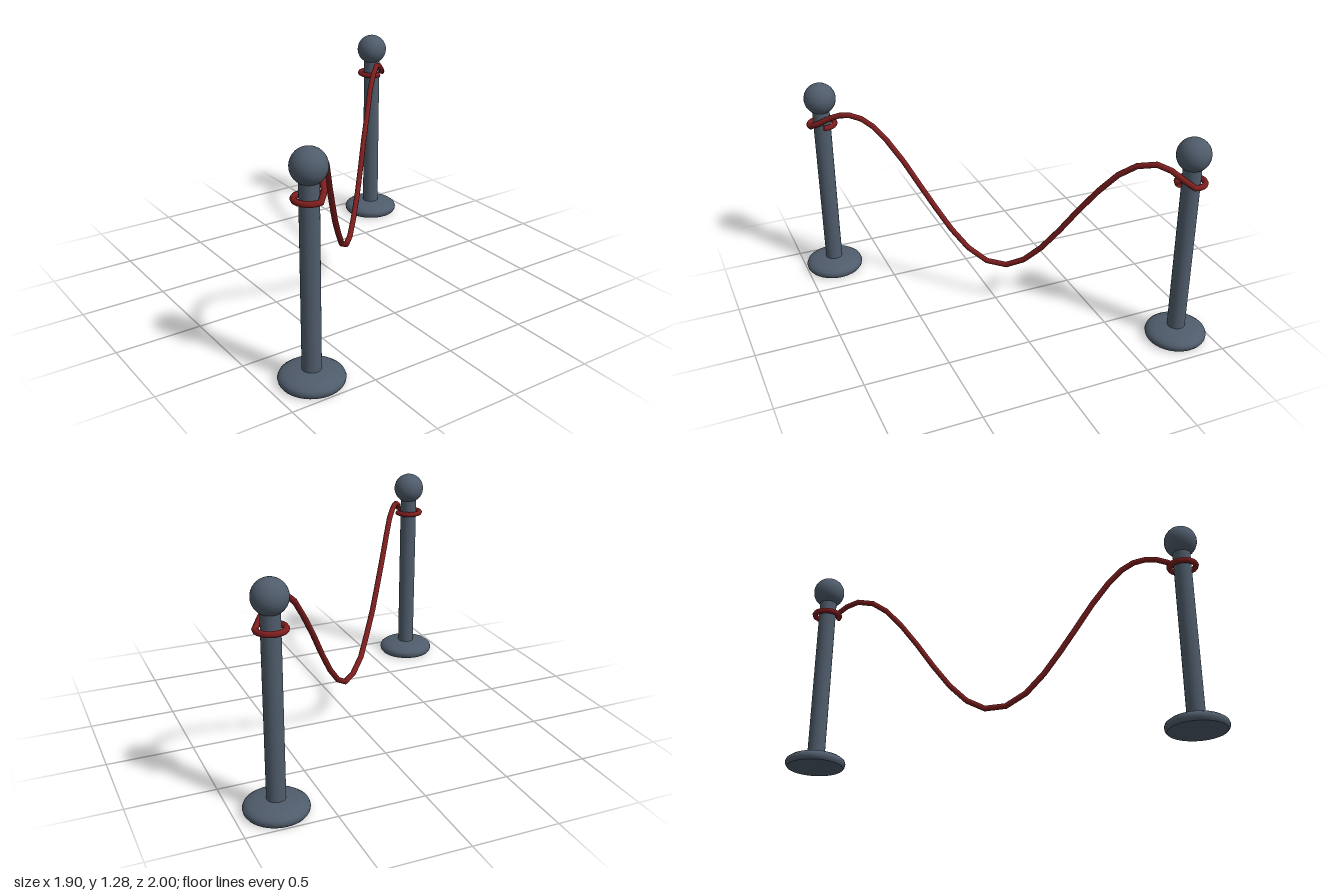
import * as THREE from 'three';

const V = (x, y, z) => new THREE.Vector3(x, y, z);
const LOOP_Y = 1.015;

function add(parent, name, geometry, material, y = 0) {
  const mesh = new THREE.Mesh(geometry, material);
  mesh.name = name;
  mesh.position.y = y;
  parent.add(mesh);
  return mesh;
}

// One stanchion: domed foot, pole and ball finial
function createPost(name, x, z, metal) {
  const post = new THREE.Group();
  post.name = name;
  post.position.set(x, 0, z);
  const profile = [
    [0.166, 0], [0.175, 0.012], [0.178, 0.028], [0.172, 0.044],
    [0.15, 0.06], [0.11, 0.071], [0.05, 0.078],
  ].map(([r, y]) => new THREE.Vector2(r, y));
  add(post, 'foot', new THREE.LatheGeometry(profile, 40), metal);
  add(post, 'footUnderside', new THREE.CircleGeometry(0.166, 40).rotateX(Math.PI / 2), metal);
  add(post, 'pole', new THREE.CylinderGeometry(0.052, 0.052, 1.06, 28), metal, 0.6);
  add(post, 'ballFinial', new THREE.SphereGeometry(0.096, 32, 20), metal, 1.18);
  return post;
}

// Points of a level rope loop around a post
function loopPoints(x, z, from, to, steps) {
  const points = [];
  for (let i = 0; i <= steps; i++) {
    const a = from + ((to - from) * i) / steps;
    points.push(V(x + 0.077 * Math.cos(a), LOOP_Y, z + 0.077 * Math.sin(a)));
  }
  return points;
}

export function createModel() {
  const model = new THREE.Group();
  model.name = 'ropeBarrier';
  const metal = new THREE.MeshStandardMaterial({ color: 0x4f5c6b });
  const red = new THREE.MeshStandardMaterial({ color: 0x7d1d1d, side: THREE.DoubleSide });

  const px = 0.773, pz = 0.821;
  model.add(createPost('rightPost', -px, pz, metal));
  model.add(createPost('leftPost', px, -pz, metal));

  // Rope: loop, hump, deep sag, hump, loop
  const sag = [
    V(-0.71, 1.045, 0.855), V(-0.675, 1.085, 0.79), V(-0.64, 1.108, 0.74), V(-0.605, 1.115, 0.69),
    V(-0.56, 1.1, 0.63), V(-0.515, 1.06, 0.575), V(-0.465, 0.98, 0.51), V(-0.4, 0.85, 0.43),
    V(-0.33, 0.7, 0.352), V(-0.265, 0.565, 0.28), V(-0.195, 0.44, 0.21), V(-0.12, 0.33, 0.13),
    V(-0.03, 0.267, 0.045), V(0.06, 0.267, -0.045), V(0.14, 0.33, -0.125), V(0.22, 0.44, -0.2),
    V(0.3, 0.585, -0.277), V(0.38, 0.745, -0.355), V(0.46, 0.89, -0.43), V(0.535, 1.01, -0.505),
    V(0.61, 1.085, -0.575), V(0.69, 1.115, -0.65), V(0.75, 1.095, -0.705), V(0.8, 1.055, -0.75),
  ];
  const points = [
    ...loopPoints(-px, pz, 0.1, -4.95, 16),
    ...sag,
    ...loopPoints(px, -pz, 0.25, -4.8, 16),
  ];
  const path = new THREE.CatmullRomCurve3(points);
  // Step by control point so the rope keeps its long facets in the sag
  path.getPointAt = path.getPoint;
  path.getTangentAt = path.getTangent;
  add(model, 'rope', new THREE.TubeGeometry(path, points.length - 1, 0.017, 8), red);

  return model;
}
